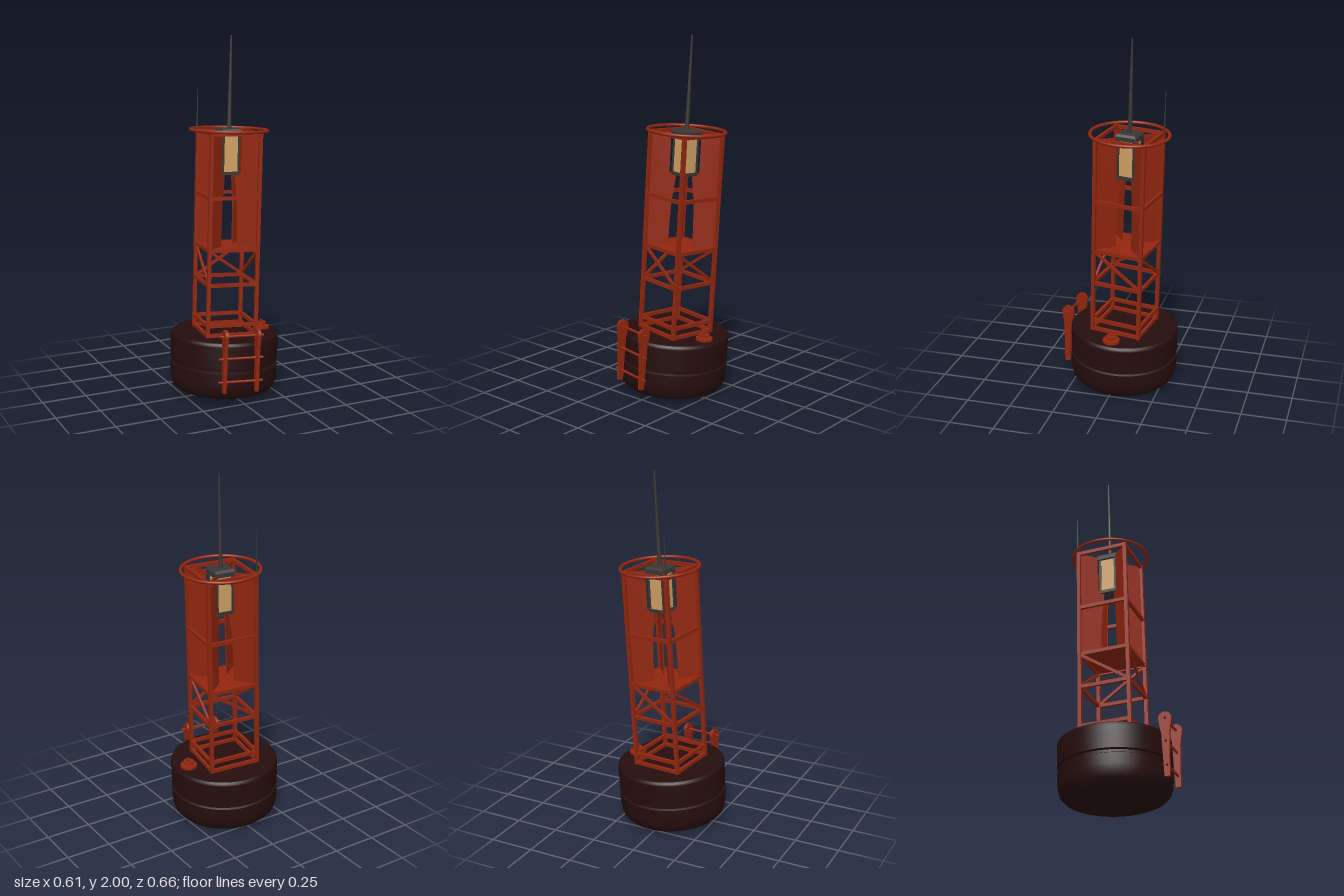
import * as THREE from 'three';

const paint = (name, color) => {
  const m = new THREE.MeshStandardMaterial({ color });
  m.name = name;
  return m;
};

export function createModel() {
  const red = paint('red paint', 0x92260f);
  const dark = paint('dark hull', 0x260d0d);
  const grey = paint('grey metal', 0x3a3636);
  const amber = paint('amber glass', 0xcfa062);

  const buoy = new THREE.Group();
  buoy.name = 'buoy';

  const add = (parent, name, geometry, material, x = 0, y = 0, z = 0) => {
    const mesh = new THREE.Mesh(geometry, material);
    mesh.name = name;
    mesh.position.set(x, y, z);
    parent.add(mesh);
    return mesh;
  };
  const group = (name, parent = buoy) => {
    const g = new THREE.Group();
    g.name = name;
    parent.add(g);
    return g;
  };
  const box = (w, h, d) => new THREE.BoxGeometry(w, h, d);
  const rod = (top, bottom, h, n = 20) => new THREE.CylinderGeometry(top, bottom, h, n);

  // Float: rounded bottom, a groove around the middle, flat deck.
  // Profile runs in separate strips so the hard edges stay crisp.
  const float = group('float');
  const strips = [
    [[0, 0], [0.19, 0]],
    [[0.19, 0], [0.235, 0.006], [0.268, 0.02], [0.29, 0.042], [0.3, 0.075], [0.303, 0.11], [0.303, 0.166]],
    [[0.303, 0.166], [0.292, 0.172]],
    [[0.292, 0.172], [0.292, 0.186]],
    [[0.292, 0.186], [0.303, 0.192]],
    [[0.303, 0.192], [0.304, 0.315], [0.301, 0.328], [0.292, 0.335]],
    [[0.292, 0.335], [0, 0.336]],
  ];
  for (const s of strips) {
    add(float, 'floatShell', new THREE.LatheGeometry(s.map(p => new THREE.Vector2(...p)), 64), dark);
  }

  // Tower: four sides, each with a leg, rails and one diagonal brace
  const H = 0.139, BAR = 0.02;
  const tower = group('tower');
  for (let k = 0; k < 4; k++) {
    const side = group('towerSide', tower);
    side.rotation.y = k * Math.PI / 2;
    add(side, 'leg', box(BAR, 1.14, BAR), red, H, 0.9, H);
    for (const y of [0.345, 0.4, 0.627, 0.822, 1.11, 1.46]) {
      add(side, 'rail', box(2 * H, BAR, 0.016), red, 0, y, H);
    }
    const rise = 0.19, run = 2 * H;
    const brace = add(side, 'brace', box(Math.hypot(rise, run), 0.016, 0.012), red, 0, 0.725, H);
    brace.rotation.z = -Math.atan2(rise, run);
  }
  add(tower, 'platform', box(2 * H, 0.008, 2 * H), red, 0, 0.824, 0);

  // Reflector fins on the diagonals, cut away around the lantern
  const R = H * Math.SQRT2;
  const finShape = new THREE.Shape([
    [R, 0.825], [0.068, 0.825], [0.066, 0.95], [0.061, 1.08], [0.042, 1.235],
    [0.082, 1.24], [0.082, 1.462], [R, 1.462],
  ].map(p => new THREE.Vector2(...p)));
  const finGeo = new THREE.ExtrudeGeometry(finShape, { depth: 0.006, bevelEnabled: false });
  finGeo.translate(0, 0, -0.003);
  for (let k = 0; k < 4; k++) {
    add(tower, 'reflectorFin', finGeo, red).rotation.y = Math.PI / 4 + k * Math.PI / 2;
  }

  // Guard ring on top of the legs
  const ring = add(tower, 'guardRing', new THREE.TorusGeometry(0.214, 0.009, 10, 64), red, 0, 1.474, 0);
  ring.rotation.x = Math.PI / 2;

  // Lantern: base, cap, corner posts, glass and mast
  const lantern = group('lantern');
  add(lantern, 'lanternBase', box(0.106, 0.018, 0.106), grey, 0, 1.237, 0);
  add(lantern, 'lanternCap', box(0.12, 0.024, 0.12), grey, 0, 1.458, 0);
  const roof = add(lantern, 'lanternRoof', rod(0.07, 0.084, 0.012, 4).toNonIndexed(), grey, 0, 1.476, 0);
  roof.geometry.computeVertexNormals();
  roof.rotation.y = Math.PI / 4;
  add(lantern, 'glass', box(0.092, 0.2, 0.092), amber, 0, 1.346, 0);
  for (const x of [-1, 1]) for (const z of [-1, 1]) {
    add(lantern, 'cornerPost', box(0.012, 0.21, 0.012), grey, x * 0.045, 1.346, z * 0.045);
  }
  add(lantern, 'mast', rod(0.005, 0.012, 0.51), grey, 0, 1.736, 0);
  add(buoy, 'antenna', rod(0.002, 0.005, 0.25, 10), grey, -0.143, 1.57, -0.143);

  // Deck hatch with a handle
  const hatch = group('hatch');
  hatch.position.set(0.226, 0.335, -0.014);
  add(hatch, 'hatchPlate', rod(0.047, 0.047, 0.014, 32), red, 0, 0.007, 0);
  add(hatch, 'hatchNeck', rod(0.016, 0.016, 0.02), red, 0, 0.022, 0);
  add(hatch, 'hatchCap', rod(0.029, 0.029, 0.01, 28), red, 0, 0.031, 0);
  add(hatch, 'hatchHandle', box(0.01, 0.012, 0.034), red, 0, 0.042, 0);

  // Boarding ladder: tapered side plates with round heads, and rungs
  const ladder = group('ladder');
  const plate = new THREE.Shape();
  plate.moveTo(-0.014, 0.07);
  plate.lineTo(0.014, 0.07);
  plate.lineTo(0.022, 0.3);
  plate.lineTo(0.036, 0.385);
  plate.absarc(0, 0.385, 0.036, 0, Math.PI, false);
  plate.lineTo(-0.022, 0.3);
  const plateGeo = new THREE.ExtrudeGeometry(plate, { depth: 0.018, bevelEnabled: false, curveSegments: 20 });
  plateGeo.translate(0, 0, -0.009);
  plateGeo.rotateY(-Math.PI / 2);
  for (const s of [-1, 1]) add(ladder, 'ladderSide', plateGeo, red, s * 0.092, 0, 0.314);
  for (const y of [0.13, 0.26, 0.385]) {
    add(ladder, 'rung', rod(0.007, 0.007, 0.25, 14), red, 0, y, 0.316).rotation.z = Math.PI / 2;
  }

  // The whole buoy is turned a little and leans as if afloat
  const lean = new THREE.Vector3(0.042, 1, -0.034).normalize();
  buoy.quaternion.setFromUnitVectors(new THREE.Vector3(0, 1, 0), lean)
    .multiply(new THREE.Quaternion().setFromAxisAngle(new THREE.Vector3(0, 1, 0), -0.142));
  buoy.position.set(-0.006, 0.011, -0.017);

  const model = new THREE.Group();
  model.name = 'navigationBuoy';
  model.add(buoy);
  return model;
}
